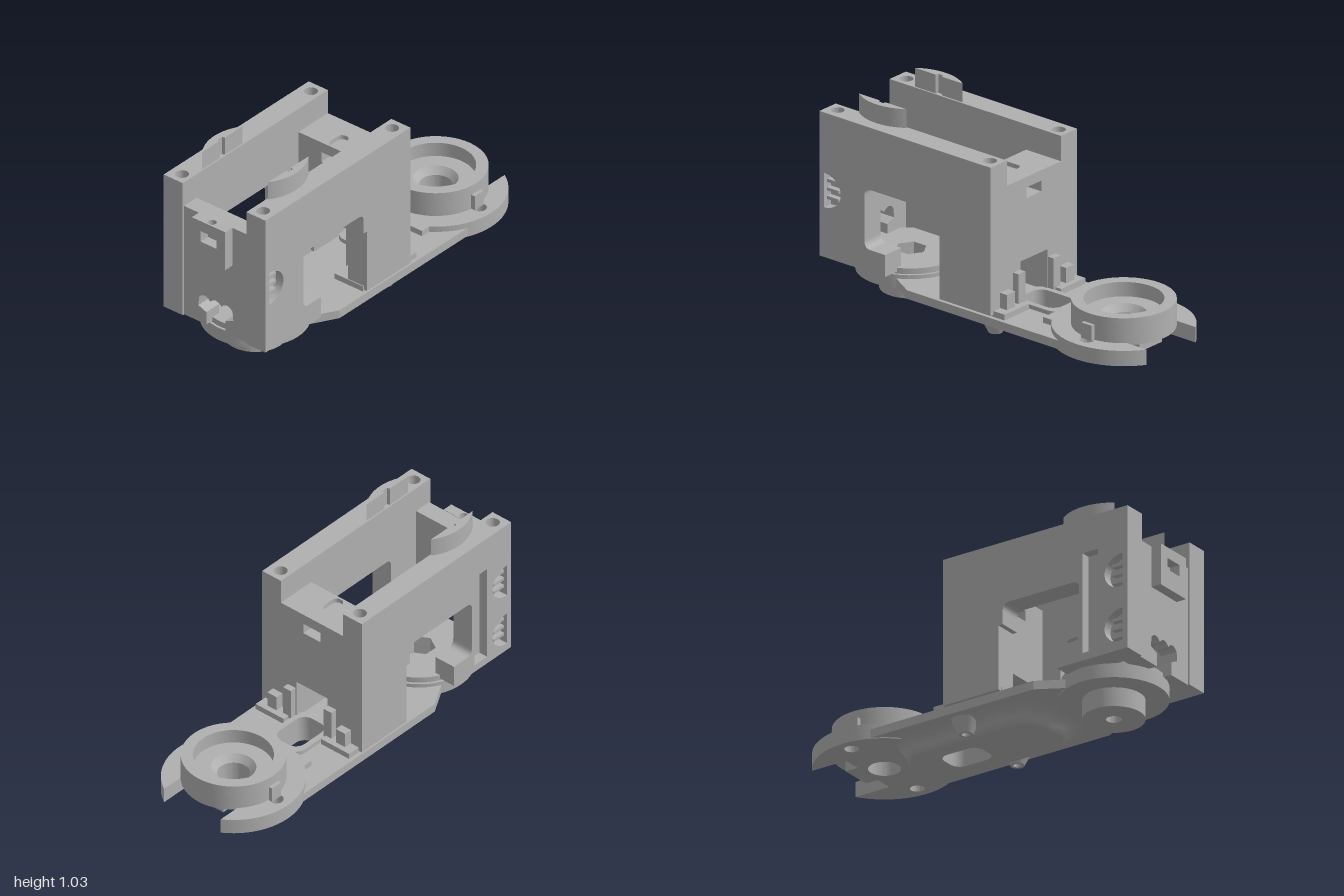
import * as THREE from 'three';
import { toCreasedNormals } from 'three/addons/utils/BufferGeometryUtils.js';

const grey = new THREE.MeshStandardMaterial({ color: 0xb0b0b0 });
grey.name = 'plainGrey';

const poly = (pts, C = THREE.Shape) => new C(pts.map(([x, y]) => new THREE.Vector2(x, y)));
const disc = (x, y, r, C = THREE.Shape) => { const c = new C(); c.absarc(x, y, r, 0, Math.PI * 2, false); return c; };
const rect = (x0, y0, x1, y1, C = THREE.Shape) => poly([[x0, y0], [x1, y0], [x1, y1], [x0, y1]], C);
const hexagon = (x, r) => poly([0, 1, 2, 3, 4, 5].map(i =>
  [x + r * Math.cos(i * Math.PI / 3), r * Math.sin(i * Math.PI / 3)]), THREE.Path);

// Points of a rounded rectangle, counter-clockwise
function roundedPoints(x0, y0, x1, y1, r, n = 8) {
  const pts = [];
  [[x1 - r, y1 - r], [x0 + r, y1 - r], [x0 + r, y0 + r], [x1 - r, y0 + r]].forEach(([cx, cy], q) => {
    for (let i = 0; i <= n; i++) {
      const a = (q + i / n) * Math.PI / 2;
      pts.push([cx + r * Math.cos(a), cy + r * Math.sin(a)]);
    }
  });
  return pts;
}

export function createModel() {
  const model = new THREE.Group();
  model.name = 'chassisFrame';

  function add(name, geo, x = 0, y = 0, z = 0, material = grey) {
    const m = new THREE.Mesh(geo, material);
    m.name = name;
    m.position.set(x, y, z);
    model.add(m);
    return m;
  }
  const box = (name, x0, x1, y0, y1, z0, z1) =>
    add(name, new THREE.BoxGeometry(x1 - x0, y1 - y0, z1 - z0), (x0 + x1) / 2, (y0 + y1) / 2, (z0 + z1) / 2);
  // Extrusions along each axis between two limits
  function extrude(name, shape, a, b, axis, holes = []) {
    shape.holes.push(...holes);
    let g = new THREE.ExtrudeGeometry(shape, { depth: b - a, bevelEnabled: false, curveSegments: 28 });
    g.translate(0, 0, a);
    if (axis === 'y') g.rotateX(-Math.PI / 2);
    if (axis === 'x') g.rotateY(Math.PI / 2);
    g = toCreasedNormals(g, 0.5);
    return add(name, g);
  }

  // Side walls with a stepped window
  const wallShape = () => {
    const s = new THREE.Shape();
    s.moveTo(-0.955, 0.18); s.lineTo(-0.54, 0.18); s.lineTo(-0.54, 0.295);
    s.lineTo(-0.63, 0.295); s.quadraticCurveTo(-0.67, 0.295, -0.67, 0.335);
    s.lineTo(-0.67, 0.57); s.quadraticCurveTo(-0.67, 0.61, -0.63, 0.61);
    s.lineTo(-0.26, 0.61); s.quadraticCurveTo(-0.22, 0.61, -0.22, 0.57);
    s.lineTo(-0.22, 0.5); s.lineTo(-0.195, 0.5); s.lineTo(-0.195, 0.16);
    s.lineTo(0.13, 0.16); s.lineTo(0.13, 0.86); s.lineTo(-0.955, 0.86);
    return s;
  };
  const halfNotch = (y) => {
    const p = new THREE.Path();
    p.moveTo(-0.925, y - 0.09);
    p.absellipse(-0.925, y, 0.105, 0.09, -Math.PI / 2, Math.PI / 2, false);
    return p;
  };
  extrude('leftWallInner', wallShape(), 0.2, 0.27, 'z');
  extrude('leftWallOuter', wallShape(), 0.27, 0.32, 'z', [halfNotch(0.53)]);
  extrude('rightWallInner', wallShape(), -0.27, -0.2, 'z');
  extrude('rightWallOuter', wallShape(), -0.32, -0.27, 'z',
    [rect(-0.78, 0.22, -0.69, 0.75, THREE.Path), halfNotch(0.6), halfNotch(0.31)]);

  // Ribs inside the round wall notches
  for (const [y, s] of [[0.53, 1], [0.6, -1], [0.31, -1]])
    for (let i = -1; i <= 1; i++)
      box('notchRib', -0.925, -0.85, y + i * 0.045 - 0.008, y + i * 0.045 + 0.008, s * 0.285 - 0.015, s * 0.285 + 0.015);

  for (const s of [1, -1]) {
    // Wall tops with screw holes
    extrude('wallTop', rect(-0.955, s * 0.26 - 0.06, 0.13, s * 0.26 + 0.06), 0.86, 0.935, 'y',
      [disc(-0.895, s * 0.255, 0.034, THREE.Path), disc(0.07, s * 0.255, 0.034, THREE.Path)]);
    // Curved lugs on the walls, each with a small groove
    const lug = new THREE.Shape();
    const a = Math.asin(0.208 / 0.257);
    lug.absarc(-0.65, 0, 0.257, a, Math.PI - a, false);
    lug.lineTo(-0.67, 0.208);
    lug.lineTo(-0.665, 0.223); lug.lineTo(-0.635, 0.223); lug.lineTo(-0.63, 0.208);
    const m = extrude('curvedLug', lug, 0.93, 1.033, 'y');
    if (s > 0) { m.rotation.y = Math.PI; m.position.x = -1.3; }
  }

  // Front cross wall: slot above, passage below
  extrude('frontCrossWall', poly([[-0.2, 0.16], [-0.1, 0.16], [-0.1, 0.375], [0.1, 0.375], [0.1, 0.16],
    [0.2, 0.16], [0.2, 0.78], [-0.2, 0.78]]), -0.09, 0.13, 'x', [rect(-0.055, 0.692, 0.055, 0.748, THREE.Path)]);
  extrude('frontCrossTop', rect(-0.09, -0.2, 0.13, 0.2), 0.78, 0.803, 'y',
    [poly(roundedPoints(-0.08, -0.03, 0.03, 0.03, 0.028), THREE.Path)]);

  // Rear cross wall with a scalloped opening
  const rear = new THREE.Shape();
  rear.moveTo(-0.2, 0.18); rear.lineTo(-0.06, 0.18); rear.lineTo(-0.06, 0.25); rear.lineTo(-0.11, 0.27);
  for (let i = -1; i <= 1; i++) {
    rear.lineTo(i * 0.07 - 0.035, 0.32);
    rear.quadraticCurveTo(i * 0.07, 0.36, i * 0.07 + 0.035, 0.32);
  }
  rear.lineTo(0.11, 0.27); rear.lineTo(0.06, 0.25); rear.lineTo(0.06, 0.18);
  rear.lineTo(0.2, 0.18); rear.lineTo(0.2, 0.8); rear.lineTo(-0.2, 0.8);
  extrude('rearCrossWall', rear, -0.945, -0.85, 'x');
  extrude('rearCoupler', rect(-0.105, 0.585, 0.105, 0.77), -1, -0.945, 'x',
    [rect(-0.05, 0.685, 0.05, 0.745, THREE.Path)]);
  extrude('rearCouplerTop', rect(-1, -0.105, -0.945, 0.105), 0.77, 0.802, 'y',
    [disc(-0.972, 0, 0.022, THREE.Path)]);

  // Rear pivot: boss, disc and hexagonal pocket
  extrude('rearPivotBoss', disc(-0.65, 0, 0.153), 0, 0.1, 'y', [disc(-0.65, 0, 0.038, THREE.Path)]);
  extrude('rearPivotDisc', disc(-0.65, 0, 0.268), 0.1, 0.17, 'y', [hexagon(-0.65, 0.08)]);
  extrude('rearPivotTop', disc(-0.65, 0, 0.255), 0.17, 0.2, 'y', [hexagon(-0.65, 0.08)]);

  // Floor plate with a rounded slot
  const slot = () => poly(roundedPoints(0.1, -0.08, 0.33, 0.08, 0.055), THREE.Path);
  const floor = poly([[-0.4, -0.32], [0.57, -0.32], [0.57, 0.32], [-0.4, 0.32], [-0.54, 0.24], [-0.54, -0.24]]);
  extrude('floorPlate', floor, 0.105, 0.15, 'y', [slot()]);
  extrude('slotRim', poly(roundedPoints(0.07, -0.11, 0.365, 0.11, 0.06)), 0.032, 0.172, 'y', [slot()]);
  for (const s of [1, -1]) {
    const z = (a, b) => s > 0 ? [a, b] : [-b, -a];
    box('wallFoot', -0.2, 0.2, 0.145, 0.18, ...z(0.12, 0.3));
    box('smallPost', 0.13, 0.172, 0.16, 0.26, ...z(0.19, 0.25));
    box('innerStop', 0.13, 0.165, 0.16, 0.335, ...z(0.105, 0.155));
    box('rimStep', 0.36, 0.46, 0.14, 0.18, ...z(0.09, 0.2));
    box('hubTab', 0.665, 0.73, 0.18, 0.26, ...z(0.245, 0.275));
  }

  // Smooth belly under the floor: rounded outlines flaring upward
  const levels = [[0.115, -0.45, 0.56, 0.31], [0.1, -0.38, 0.54, 0.25], [0.085, -0.345, 0.525, 0.22],
    [0.06, -0.32, 0.512, 0.198], [0.04, -0.31, 0.505, 0.185], [0.03, -0.295, 0.495, 0.165]];
  const pos = [], idx = [];
  let n = 0;
  levels.forEach(([y, x0, x1, w]) => {
    const ring = roundedPoints(x0, -w, x1, w, w * 0.75);
    n = ring.length;
    ring.forEach(([x, v]) => pos.push(x, y, -v));
  });
  for (let l = 0; l < levels.length - 1; l++)
    for (let i = 0; i < n; i++) {
      const a = l * n + i, b = l * n + (i + 1) % n;
      idx.push(a, a + n, b, b, a + n, b + n);
    }
  const belly = new THREE.BufferGeometry();
  belly.setAttribute('position', new THREE.Float32BufferAttribute(pos, 3));
  belly.setIndex(idx);
  belly.computeVertexNormals();
  add('bellySide', belly);
  const base = poly(roundedPoints(-0.295, -0.165, 0.495, 0.165, 0.124));
  base.holes.push(slot());
  const baseGeo = new THREE.ShapeGeometry(base, 24);
  baseGeo.rotateX(Math.PI / 2);
  add('bellyBase', baseGeo, 0, 0.03, 0);

  // Hollow tapered bosses on both flanks of the belly
  for (const s of [1, -1]) {
    const profile = [[0.02, 0.08], [0.02, 0.03], [0.035, 0.03], [0.075, 0.11]].map(p => new THREE.Vector2(...p));
    add('flankBoss', toCreasedNormals(new THREE.LatheGeometry(profile, 24), 0.5), 0.07, 0, s * 0.215);
    add('flankBossHole', new THREE.CylinderGeometry(0.02, 0.02, 0.01, 24), 0.07, 0.08, s * 0.215);
  }

  // Front fork: round plate open at the end
  const fork = new THREE.Shape();
  const tip = Math.asin(0.182 / 0.35);
  fork.absarc(0.7, 0, 0.35, tip, Math.PI * 2 - tip, false);
  fork.lineTo(0.8, -0.182);
  fork.lineTo(0.8, 0.182);
  extrude('frontFork', fork, 0.1, 0.18, 'y', [disc(0.7, 0, 0.08, THREE.Path),
    disc(0.7, 0.275, 0.036, THREE.Path), disc(0.7, -0.275, 0.036, THREE.Path)]);
  box('forkTongue', 0.78, 0.87, 0.1, 0.15, -0.085, 0.085);

  // Front ring seat with a recess and a centre hole
  const ring = [[0.08, 0.17], [0.255, 0.17], [0.255, 0.31], [0.195, 0.31], [0.195, 0.235], [0.11, 0.235],
    [0.08, 0.2], [0.08, 0.17]].map(p => new THREE.Vector2(...p));
  add('frontRingSeat', toCreasedNormals(new THREE.LatheGeometry(ring, 56), 0.5), 0.7, 0, 0);

  return model;
}
